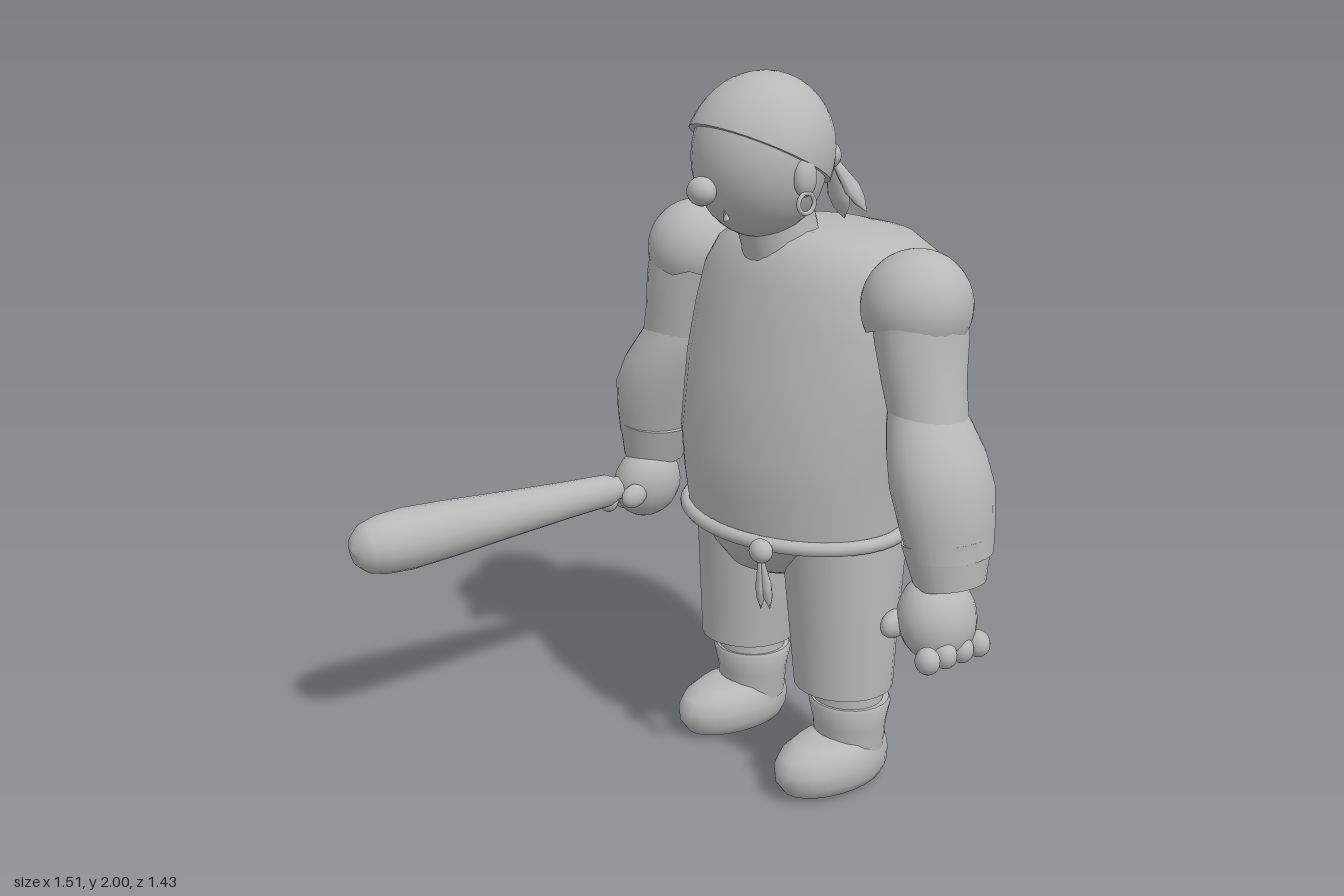
import * as THREE from 'three';
import { toCreasedNormals } from 'three/addons/utils/BufferGeometryUtils.js';

const clay = new THREE.MeshStandardMaterial({ color: 0xb8b8b8 });
clay.name = 'clay grey';

// Stack of elliptical rings, each [y, zFront, zBack, halfWidth, centreX], closed at both ends
function loft(rings, seg = 24, side = 1) {
  const pos = [], idx = [];
  for (const [y, zf, zb, rx, cx = 0] of rings) {
    for (let i = 0; i < seg; i++) {
      const a = (i / seg) * Math.PI * 2;
      pos.push(cx * side + Math.sin(a) * rx, y, (zf + zb) / 2 + Math.cos(a) * (zf - zb) / 2);
    }
  }
  for (let r = 0; r < rings.length - 1; r++) {
    for (let i = 0; i < seg; i++) {
      const a = r * seg + i, b = r * seg + (i + 1) % seg;
      idx.push(a, b, b + seg, a, b + seg, a + seg);
    }
  }
  [0, rings.length - 1].forEach((r, top) => {
    const [y, zf, zb, , cx = 0] = rings[r];
    const c = pos.length / 3;
    pos.push(cx * side, y, (zf + zb) / 2);
    for (let i = 0; i < seg; i++) {
      const a = r * seg + i, b = r * seg + (i + 1) % seg;
      if (top) idx.push(a, b, c); else idx.push(b, a, c);
    }
  });
  const g = new THREE.BufferGeometry();
  g.setAttribute('position', new THREE.Float32BufferAttribute(pos, 3));
  g.setIndex(idx);
  return toCreasedNormals(g, 0.8);
}

function add(parent, name, geometry, x = 0, y = 0, z = 0) {
  const m = new THREE.Mesh(geometry, clay);
  m.name = name;
  m.position.set(x, y, z);
  parent.add(m);
  return m;
}

const ball = (rx, ry = rx, rz = rx, seg = 20) =>
  new THREE.SphereGeometry(1, seg, Math.ceil(seg * 0.7)).scale(rx, ry, rz);

// Flattened leaf-shaped cloth end running between two points
function clothTail(parent, name, from, to, width) {
  const a = new THREE.Vector3(...from), b = new THREE.Vector3(...to);
  const dir = b.clone().sub(a), len = dir.length();
  const profile = [[0.001, 0], [0.5, 0.2], [1, 0.6], [0.75, 0.8], [0.001, 1]]
    .map(([r, t]) => new THREE.Vector2(r * width, t * len));
  const m = add(parent, name, new THREE.LatheGeometry(profile, 8).scale(1, 1, 0.6), ...from);
  m.quaternion.setFromUnitVectors(new THREE.Vector3(0, 1, 0), dir.normalize());
}

function buildHead(root) {
  const head = new THREE.Group();
  head.name = 'head';
  root.add(head);
  add(head, 'neck', loft([[1.47, -0.2, -0.44, 0.12], [1.54, -0.18, -0.41, 0.1], [1.7, -0.13, -0.36, 0.1]]));
  add(head, 'face', ball(0.184, 0.21, 0.178, 28), 0, 1.778, -0.214);
  add(head, 'nose', ball(0.044, 0.038, 0.036), 0, 1.705, -0.026);
  const tooth = add(head, 'tooth', new THREE.ConeGeometry(0.01, 0.03, 6), 0.035, 1.645, -0.077);
  tooth.rotation.x = 0.3;
  for (const s of [-1, 1]) add(head, 'ear', ball(0.024, 0.05, 0.034), s * 0.183, 1.745, -0.217);
  const ring = add(head, 'earring', new THREE.TorusGeometry(0.026, 0.006, 8, 20), 0.196, 1.682, -0.212);
  ring.rotation.y = Math.PI / 2;

  // Tilted headscarf with its lower face closed
  const scarf = new THREE.Group();
  scarf.name = 'headscarf';
  scarf.position.set(0, 1.785, -0.214);
  scarf.rotation.x = -0.46;
  head.add(scarf);
  const dome = new THREE.SphereGeometry(1, 28, 12, 0, Math.PI * 2, 0, Math.PI / 2);
  add(scarf, 'scarfCap', dome.scale(0.2, 0.217, 0.197));
  const rim = new THREE.CircleGeometry(1, 28).rotateX(Math.PI / 2);
  add(scarf, 'scarfRim', rim.scale(0.2, 1, 0.197));
  add(head, 'scarfKnot', ball(0.04, 0.036, 0.028), 0.05, 1.772, -0.41);
  clothTail(head, 'scarfTail', [0.05, 1.78, -0.41], [0.035, 1.59, -0.485], 0.034);
  clothTail(head, 'scarfTail', [0.05, 1.78, -0.41], [0.12, 1.62, -0.49], 0.028);
}

function buildArm(root, s) {
  const arm = new THREE.Group();
  arm.name = s > 0 ? 'leftArm' : 'rightArm';
  root.add(arm);
  // Rounded sleeve with a scalloped lower hem
  const sleeve = new THREE.SphereGeometry(1, 32, 14, 0, Math.PI * 2, 0, 1.95);
  const p = sleeve.attributes.position;
  for (let i = 0; i < p.count; i++) {
    if (p.getY(i) < -0.3) {
      p.setY(i, p.getY(i) + 0.05 * Math.cos(8 * Math.atan2(p.getX(i), p.getZ(i))));
    }
  }
  sleeve.scale(0.141, 0.144, 0.144);
  add(arm, 'sleeve', sleeve, s * 0.465, 1.448, -0.353);
  add(arm, 'upperArm', loft([
    [1.46, -0.22, -0.485, 0.115, 0.475], [1.37, -0.215, -0.478, 0.105, 0.495],
    [1.27, -0.225, -0.455, 0.1, 0.515], [1.12, -0.235, -0.43, 0.095, 0.56],
  ].reverse(), 24, s));
  add(arm, 'forearm', loft([
    [0.85, -0.21, -0.455, 0.095, 0.645], [0.92, -0.195, -0.465, 0.105, 0.632],
    [1.02, -0.182, -0.468, 0.122, 0.612], [1.1, -0.195, -0.462, 0.117, 0.582],
    [1.17, -0.22, -0.445, 0.102, 0.548], [1.2, -0.23, -0.435, 0.09, 0.535],
  ], 24, s));
  // Wrist cuff leans outward with the arm
  const cuff = add(arm, 'cuff', new THREE.CylinderGeometry(0.105, 0.082, 0.12, 24), s * 0.645, 0.825, -0.328);
  cuff.scale.z = 1.2;
  cuff.rotation.z = s * 0.17;
  const hand = add(arm, 'hand', ball(0.093, 0.118, 0.11), s * 0.647, 0.68, -0.295);
  hand.rotation.z = s * 0.3;
  for (let i = 0; i < 4; i++) {
    add(arm, 'finger', ball(0.034, 0.036, 0.031, 14), s * 0.72, 0.612, -0.195 - i * 0.059);
  }
  const thumb = add(arm, 'thumb', ball(0.03, 0.036, 0.045, 14), s * 0.588, 0.665, -0.205);
  thumb.rotation.x = 0.4;
}

function buildLeg(root, s) {
  const leg = new THREE.Group();
  leg.name = s > 0 ? 'leftLeg' : 'rightLeg';
  root.add(leg);
  add(leg, 'trouserLeg', loft([
    [0.31, -0.228, -0.51, 0.141, 0.218], [0.45, -0.218, -0.52, 0.151, 0.211],
    [0.62, -0.205, -0.54, 0.162, 0.202], [0.77, -0.19, -0.56, 0.163, 0.197],
  ], 24, s));
  add(leg, 'ankle', loft([[0.22, -0.285, -0.485, 0.101, 0.222], [0.33, -0.285, -0.485, 0.101, 0.222]], 24, s));
  add(leg, 'bootTop', loft([
    [0.1, -0.295, -0.49, 0.1, 0.226], [0.19, -0.288, -0.494, 0.107, 0.224],
    [0.25, -0.273, -0.508, 0.117, 0.224], [0.262, -0.278, -0.503, 0.111, 0.224],
  ], 24, s));
  add(leg, 'foot', loft([
    [0.0, -0.2, -0.47, 0.062, 0.23], [0.018, -0.158, -0.498, 0.095, 0.23],
    [0.05, -0.135, -0.512, 0.112, 0.23], [0.09, -0.13, -0.514, 0.114, 0.23],
    [0.125, -0.15, -0.508, 0.104, 0.23], [0.15, -0.195, -0.495, 0.085, 0.23],
    [0.16, -0.26, -0.47, 0.05, 0.23],
  ], 24, s));
}

export function createModel() {
  const root = new THREE.Group();
  root.name = 'figure';
  // Barrel-shaped body
  add(root, 'torso', loft([
    [0.75, -0.088, -0.635, 0.345], [0.88, -0.07, -0.63, 0.355], [1.0, -0.065, -0.635, 0.37],
    [1.2, -0.1, -0.67, 0.397], [1.34, -0.135, -0.705, 0.406], [1.45, -0.165, -0.716, 0.395],
    [1.52, -0.195, -0.706, 0.355], [1.563, -0.23, -0.66, 0.285], [1.585, -0.27, -0.57, 0.17],
  ], 32));
  add(root, 'hips', loft([
    [0.608, -0.23, -0.52, 0.09], [0.64, -0.165, -0.585, 0.17],
    [0.69, -0.13, -0.605, 0.24], [0.77, -0.095, -0.635, 0.335],
  ], 32));
  buildHead(root);
  for (const s of [-1, 1]) {
    buildArm(root, s);
    buildLeg(root, s);
  }

  // Rope belt with a knot and two hanging ends
  class Oval extends THREE.Curve {
    getPoint(t, target = new THREE.Vector3()) {
      const a = t * Math.PI * 2;
      return target.set(Math.sin(a) * 0.353, 0, Math.cos(a) * 0.287);
    }
  }
  add(root, 'belt', new THREE.TubeGeometry(new Oval(), 48, 0.02, 10, true), 0, 0.77, -0.365);
  add(root, 'beltKnot', ball(0.036, 0.033, 0.03), 0.195, 0.765, -0.08);
  clothTail(root, 'beltEnd', [0.195, 0.765, -0.078], [0.205, 0.6, -0.075], 0.024);
  clothTail(root, 'beltEnd', [0.195, 0.765, -0.078], [0.238, 0.61, -0.08], 0.02);

  // Club held forward in the right hand
  const profile = [
    [0.001, -0.37], [0.036, -0.36], [0.036, -0.18], [0.05, -0.15], [0.052, -0.1], [0.057, 0],
    [0.07, 0.2], [0.084, 0.4], [0.091, 0.54], [0.086, 0.62], [0.072, 0.67], [0.045, 0.7], [0.001, 0.713],
  ].map(([r, z]) => new THREE.Vector2(r, z));
  add(root, 'club', new THREE.LatheGeometry(profile, 18).rotateX(Math.PI / 2), -0.657, 0.675, 0);
  return root;
}
